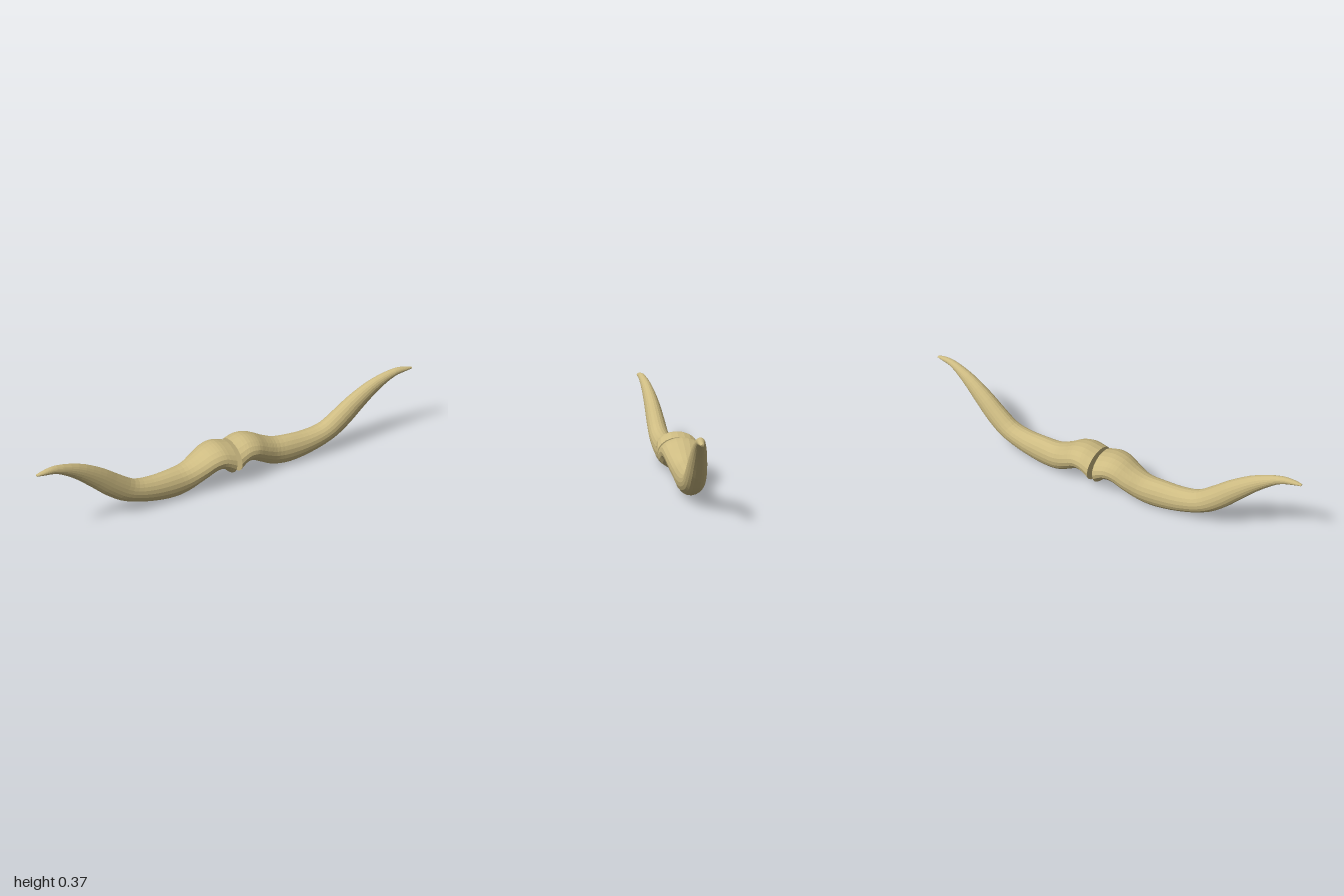
import * as THREE from 'three';

const SIDES = 20, RINGS = 44;

// Stations from root to tip: upper edge x, y | lower edge x, y | front z, back z
const STATIONS = [
  [0.010, 0.200, 0.018, 0.050, 0.102, -0.103],
  [0.075, 0.214, 0.055, 0.083, 0.096, -0.101],
  [0.130, 0.203, 0.090, 0.087, 0.092, -0.094],
  [0.190, 0.172, 0.150, 0.055, 0.080, -0.082],
  [0.250, 0.150, 0.225, 0.017, 0.068, -0.063],
  [0.330, 0.145, 0.310, 0.003, 0.066, -0.048],
  [0.430, 0.144, 0.450, 0.025, 0.067, -0.038],
  [0.505, 0.158, 0.580, 0.072, 0.068, -0.031],
  [0.580, 0.208, 0.665, 0.133, 0.069, -0.023],
  [0.665, 0.272, 0.740, 0.205, 0.069, -0.010],
  [0.785, 0.340, 0.825, 0.283, 0.070, 0.012],
  [0.910, 0.375, 0.905, 0.336, 0.073, 0.036],
  [0.970, 0.371, 0.965, 0.350, 0.074, 0.048],
  [1.000, 0.364, 0.999, 0.355, 0.070, 0.056],
];

// Skins elliptical rings spanned between the upper and lower edge curves
function hornGeometry(side) {
  const upper = new THREE.CatmullRomCurve3(STATIONS.map(s => new THREE.Vector3(s[0], s[1], s[4])));
  const lower = new THREE.CatmullRomCurve3(STATIONS.map(s => new THREE.Vector3(s[2], s[3], s[5])));
  const pos = [], index = [];
  const tri = (a, b, c) => (side > 0 ? index.push(a, b, c) : index.push(a, c, b));
  const centres = [];

  for (let i = 0; i <= RINGS; i++) {
    const p = upper.getPoint(i / RINGS), q = lower.getPoint(i / RINGS);
    const c = p.clone().add(q).multiplyScalar(0.5);
    const h = p.clone().sub(c);
    centres.push(c);
    for (let j = 0; j < SIDES; j++) {
      const a = (j / SIDES) * Math.PI * 2;
      pos.push(side * (c.x + h.x * Math.cos(a)), c.y + h.y * Math.cos(a), c.z + h.z * Math.sin(a));
    }
  }
  for (let i = 0; i < RINGS; i++) {
    for (let j = 0; j < SIDES; j++) {
      const k = (j + 1) % SIDES;
      const a = i * SIDES + j, b = i * SIDES + k;
      tri(a, b, a + SIDES);
      tri(b, b + SIDES, a + SIDES);
    }
  }

  // Root and tip caps
  const root = pos.length / 3, tip = root + 1, last = RINGS * SIDES;
  for (const c of [centres[0], centres[RINGS]]) pos.push(side * c.x, c.y, c.z);
  for (let j = 0; j < SIDES; j++) {
    const k = (j + 1) % SIDES;
    tri(root, k, j);
    tri(tip, last + j, last + k);
  }

  const geometry = new THREE.BufferGeometry();
  geometry.setAttribute('position', new THREE.Float32BufferAttribute(pos, 3));
  geometry.setIndex(index);
  const flat = geometry.toNonIndexed();
  flat.computeVertexNormals();
  return flat;
}

export function createModel() {
  const group = new THREE.Group();
  group.name = 'hornPair';
  const bone = new THREE.MeshStandardMaterial({ color: 0xcdbb82, flatShading: true });
  bone.name = 'bone';
  for (const side of [1, -1]) {
    const horn = new THREE.Mesh(hornGeometry(side), bone);
    horn.name = side > 0 ? 'leftHorn' : 'rightHorn';
    group.add(horn);
  }
  return group;
}
